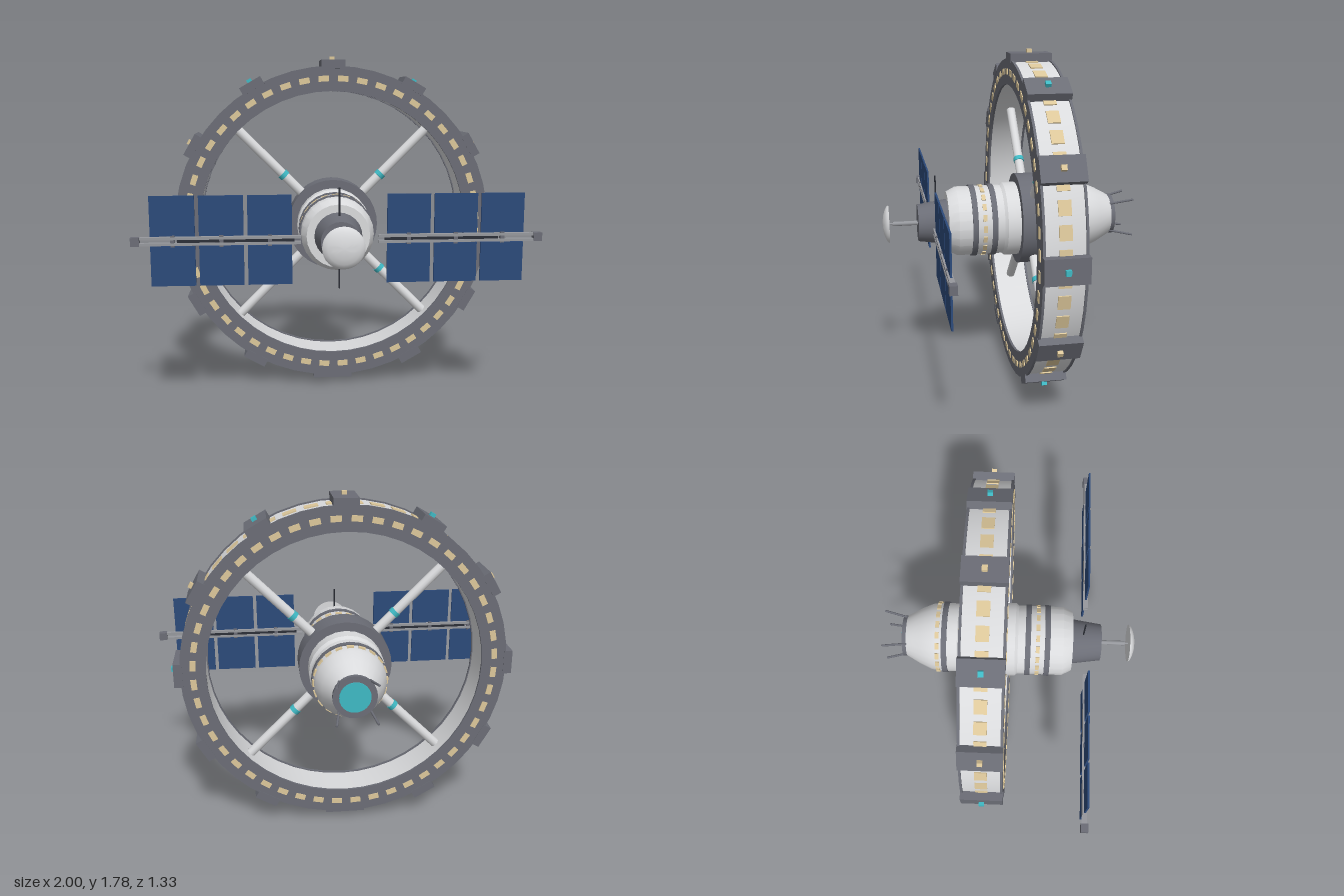
import * as THREE from 'three';
import { toCreasedNormals } from 'three/addons/utils/BufferGeometryUtils.js';

const mat = (name, color) => {
  const m = new THREE.MeshStandardMaterial({ color });
  m.name = name;
  return m;
};

export function createModel() {
  const white = mat('hull white', 0xd9dadc);
  const grey = mat('structure grey', 0x6b6d76);
  const cream = mat('window cream', 0xdcc79a);
  const teal = mat('light teal', 0x3fb9c4);
  const blue = mat('solar blue', 0x2c4a7a);
  const dark = mat('antenna dark', 0x2c2f37);
  const silver = mat('truss silver', 0x96989d);

  const model = new THREE.Group();
  model.name = 'spaceStation';
  const station = new THREE.Group();
  station.name = 'station';
  station.position.y = 0.89; // the hub axis
  model.add(station);

  const add = (parent, name, geo, material, x = 0, y = 0, z = 0) => {
    const m = new THREE.Mesh(geo, material);
    m.name = name;
    m.position.set(x, y, z);
    parent.add(m);
    return m;
  };
  const box = (w, h, d) => new THREE.BoxGeometry(w, h, d);
  // Surface of revolution about z from [radius, z] points, back to front
  const turned = (pts, seg = 24) => toCreasedNormals(
    new THREE.LatheGeometry(pts.map(p => new THREE.Vector2(p[0], p[1])), seg).rotateX(Math.PI / 2), 0.5);
  const tubeRing = (r0, r1, z0, z1, seg) =>
    turned([[r0, z0], [r1, z0], [r1, z1], [r0, z1], [r0, z0]], seg);
  // Group whose local +x points outward at an angle around the z axis
  const spoke = (parent, name, angle) => {
    const g = new THREE.Group();
    g.name = name;
    g.rotation.z = angle;
    parent.add(g);
    return g;
  };
  // Rod between two points
  const rod = (parent, name, a, b, r, material, sides = 8) => {
    const p = new THREE.Vector3(...a), q = new THREE.Vector3(...b);
    const m = add(parent, name, new THREE.CylinderGeometry(r, r, p.distanceTo(q), sides), material);
    m.position.copy(p).add(q).multiplyScalar(0.5);
    m.quaternion.setFromUnitVectors(new THREE.Vector3(0, 1, 0), q.sub(p).normalize());
    return m;
  };

  // Habitat ring
  const ring = new THREE.Group();
  ring.name = 'habitatRing';
  ring.position.z = -0.108;
  station.add(ring);
  add(ring, 'ringHull', tubeRing(0.716, 0.833, -0.098, 0.098, 48), white);
  for (const s of [-1, 1]) {
    add(ring, 'ringSidePlate', tubeRing(0.71, 0.84, -0.006, 0.006, 48), grey, 0, 0, s * 0.098);
  }
  const sideWindow = box(0.03, 0.055, 0.006);
  const rimWindow = box(0.008, 0.07, 0.06);
  for (let i = 0; i < 48; i++) {
    const g = spoke(ring, 'ringWindows', (i + 0.5) * Math.PI / 24);
    add(g, 'frontWindow', sideWindow, cream, 0.775, 0, 0.105);
    add(g, 'backWindow', sideWindow, cream, 0.775, 0, -0.105);
    add(g, 'rimWindow', rimWindow, cream, 0.833, 0, 0);
  }

  // Rim modules with lights; the lowest one lies crosswise
  for (let i = 0; i < 12; i++) {
    const g = spoke(ring, 'rimModule', i * Math.PI / 6);
    const block = add(g, 'moduleBlock', box(0.045, 0.125, 0.212), grey, 0.849, 0, 0);
    if (i === 9) block.rotation.x = Math.PI / 2;
    add(g, 'moduleLight', box(0.02, 0.026, 0.026), i % 2 ? cream : teal, 0.88, 0, 0);
  }

  // Spokes and their light bands
  for (let i = 0; i < 4; i++) {
    const g = spoke(ring, 'spoke', (i + 0.5) * Math.PI / 2);
    rod(g, 'spokeTube', [0.18, 0, 0], [0.72, 0, 0], 0.025, white, 12);
    rod(g, 'spokeLight', [0.358, 0, 0], [0.382, 0, 0], 0.029, teal, 12);
  }
  add(ring, 'hubCollar', tubeRing(0.17, 0.24, -0.07, 0.07, 32), grey);

  // Hub
  const hub = new THREE.Group();
  hub.name = 'hub';
  station.add(hub);
  add(hub, 'hubHull', turned([
    [0, -0.545], [0.108, -0.545], [0.15, -0.47], [0.176, -0.41], [0.183, -0.37], [0.183, -0.27],
    [0.195, -0.25], [0.195, 0.03], [0.183, 0.045], [0.183, 0.28], [0.158, 0.33], [0, 0.33],
  ]), white);
  for (const z of [0.198, 0.097, -0.338]) {
    add(hub, 'hubBand', tubeRing(0.17, 0.19, -0.014, 0.014, 24), grey, 0, 0, z);
  }
  for (const z of [0.148, -0.374]) {
    for (let i = 0; i < 20; i++) {
      add(spoke(hub, 'hubWindow', i * Math.PI / 10), 'hubPane', box(0.009, 0.034, 0.02), cream, 0.183, 0, z);
    }
  }

  // Front nose, mast and dish
  add(hub, 'noseCone', turned([[0, 0.325], [0.12, 0.325], [0.097, 0.483], [0, 0.483]]), grey);
  rod(hub, 'dishMast', [0, 0, 0.47], [0, 0, 0.615], 0.012, silver, 10);
  rod(hub, 'dishStem', [0, 0, 0.6], [0, 0, 0.645], 0.005, silver);
  add(hub, 'dish', turned([[0, 0.634], [0.1, 0.632], [0.093, 0.642], [0.075, 0.652],
    [0.05, 0.66], [0.025, 0.664], [0, 0.666]], 32), white);
  for (const s of [-1, 1]) {
    rod(hub, 'whipAntenna', [0, s * 0.1, 0.386], [0, s * 0.25, 0.386], 0.004, dark);
  }

  // Rear port and antennas
  add(hub, 'rearPort', tubeRing(0.075, 0.108, -0.566, -0.535, 24), grey);
  add(hub, 'rearLight', turned([[0, -0.571], [0.077, -0.571], [0.077, -0.54], [0, -0.54]]), teal);
  for (const sx of [-1, 1]) for (const sy of [-1, 1]) {
    rod(hub, 'rearAntenna', [sx * 0.074, sy * 0.074, -0.54], [sx * 0.098, sy * 0.098, -0.665], 0.006, grey);
  }

  // Solar wings
  for (const s of [-1, 1]) {
    const wing = new THREE.Group();
    wing.name = s > 0 ? 'leftSolarWing' : 'rightSolarWing';
    wing.position.z = 0.405;
    station.add(wing);
    add(wing, 'wingBeam', box(0.56, 0.014, 0.018), dark, s * 0.5, 0, 0);
    for (const t of [-1, 1]) {
      add(wing, 'wingRail', box(0.77, 0.013, 0.024), silver, s * 0.573, t * 0.014, 0);
    }
    add(wing, 'wingTip', box(0.042, 0.042, 0.036), grey, s * 0.979, 0, 0);
    for (let i = 0; i < 3; i++) {
      const x = s * (0.338 + i * 0.232);
      add(wing, 'wingBracket', box(0.02, 0.056, 0.02), grey, x, 0, 0);
      for (const t of [-1, 1]) {
        add(wing, 'solarPanel', box(0.213, 0.195, 0.009), blue, x, t * 0.1215, 0);
      }
    }
  }
  return model;
}
